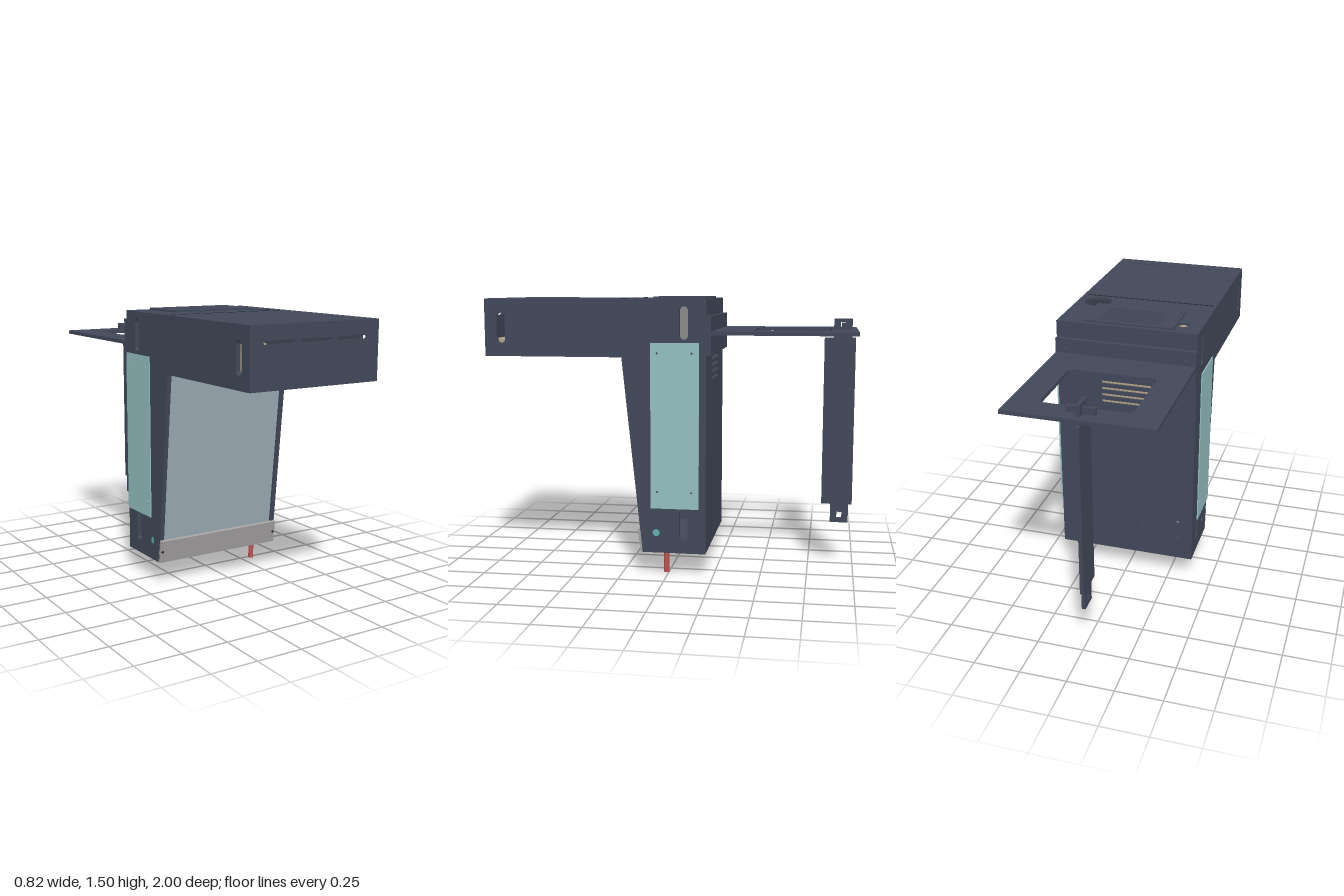
import * as THREE from 'three';

const NAVY = 0x414859, TEAL = 0x93bfc2, GREY = 0xa3a0a0, TAN = 0xb5a283, BLACK = 0x1c1c1e;
const W = 0.385; // half width of the cabinet

const mat = (color) => new THREE.MeshStandardMaterial({ color, side: THREE.DoubleSide });

// Shape and hole helpers
const poly = (pts) => new THREE.Shape(pts.map(([x, y]) => new THREE.Vector2(x, y)));
const rect = (x0, y0, x1, y1) => poly([[x0, y0], [x1, y0], [x1, y1], [x0, y1]]);
function rounded(cx, cy, w, h, r = Math.min(w, h) / 2) {
  const p = new THREE.Path(), a = w / 2 - r, b = h / 2 - r;
  p.absarc(cx + a, cy + b, r, 0, Math.PI / 2);
  p.absarc(cx - a, cy + b, r, Math.PI / 2, Math.PI);
  p.absarc(cx - a, cy - b, r, Math.PI, Math.PI * 1.5);
  p.absarc(cx + a, cy - b, r, Math.PI * 1.5, Math.PI * 2);
  p.closePath();
  return p;
}
const circle = (x, y, r) => new THREE.Path().absarc(x, y, r, 0, Math.PI * 2);

export function createModel() {
  const model = new THREE.Group();

  function add(name, geo, color, x = 0, y = 0, z = 0) {
    const m = new THREE.Mesh(geo, mat(color));
    m.name = name;
    m.position.set(x, y, z);
    model.add(m);
    return m;
  }
  function sheet(shape, holes, depth) {
    shape.holes.push(...holes);
    return new THREE.ExtrudeGeometry(shape, { depth, bevelEnabled: false, curveSegments: 10 });
  }
  // Upright sheet facing z, starting at depth z
  const upright = (name, shape, holes, t, z, color = NAVY) =>
    add(name, sheet(shape, holes, t), color, 0, 0, z);
  // Level sheet drawn in (x, -z), bottom at y
  const level = (name, shape, holes, t, y, color = NAVY) =>
    add(name, sheet(shape, holes, t).rotateX(-Math.PI / 2), color, 0, y, 0);
  // Sheet facing x, drawn in (-z, y), starting at x
  const sideways = (name, shape, holes, t, x, color = NAVY) =>
    add(name, sheet(shape, holes, t).rotateY(Math.PI / 2), color, x, 0, 0);
  const box = (name, w, h, d, color, x, y, z) =>
    add(name, new THREE.BoxGeometry(w, h, d), color, x, y, z);
  const rod = (name, r, h, color, x, y, z, n = 24) =>
    add(name, new THREE.CylinderGeometry(r, r, h, n), color, x, y, z);

  // Side walls and the thin plates standing off them
  for (const s of [-1, 1]) {
    const wall = poly([[0.21, 0.125], [0.21, 1.495], [-1, 1.495], [-1, 1.185],
      [-0.245, 1.185], [-0.135, 0.125]]);
    sideways('sideWall', wall, [
      rounded(-0.91, 1.338, 0.046, 0.165), rounded(0.09, 1.368, 0.046, 0.175),
      rounded(0.09, 0.283, 0.046, 0.17), circle(-0.06, 0.235, 0.02),
    ], 0.025, s > 0 ? W - 0.025 : -W);
    const screws = [];
    for (const z of [-0.05, 0.135]) for (const y of [0.465, 1.21]) screws.push(circle(z, y, 0.006));
    sideways('sidePlate', rect(-0.085, 0.375, 0.175, 1.265), screws, 0.006, s * 0.405 - 0.003, TEAL);
    rod('sideButton', 0.02, 0.012, 0x5fb0ae, s * 0.374, 0.235, 0.06).rotation.z = Math.PI / 2;
  }

  // Top panel with cable openings and three slots at the front
  const topSlots = [-0.22, 0, 0.22].map((x) => rounded(x, -0.92, 0.18, 0.014));
  level('topPanel', rect(-W + 0.025, -0.988, W - 0.025, 0.198),
    [...topSlots, circle(0.27, -0.15, 0.075), circle(-0.28, 0.09, 0.03), rounded(0, 0.055, 0.36, 0.22, 0.01)],
    0.012, 1.483);
  box('topSeam', 0.73, 0.003, 0.008, 0x23272f, 0, 1.495, 0.248);

  // Louvred plate on the top, with the unit below it
  const louvres = [], plateScrews = [];
  for (let i = 0; i < 7; i++) louvres.push(rounded(0, 0.145 - i * 0.029, 0.33, 0.014));
  for (const x of [-0.235, 0.235]) for (const z of [0.16, -0.07]) plateScrews.push(circle(x, z, 0.006));
  level('louvrePlate', rect(-0.25, -0.095, 0.25, 0.185), [...louvres, ...plateScrews], 0.01, 1.495);
  box('ventUnit', 0.4, 0.19, 0.22, 0x8a8a88, 0, 1.365, -0.055);

  // Front of the hood
  upright('hoodFront', rect(-W + 0.025, 1.185, W - 0.025, 1.495),
    [-0.22, 0, 0.22].map((x) => rounded(x, 1.41, 0.18, 0.018)), 0.012, 0.988);

  // Underside of the hood: rim, recessed panel and speakers
  level('hoodRim', rect(-W + 0.025, -0.988, W - 0.025, -0.245),
    [rounded(0, -0.62, 0.64, 0.66, 0.005)], 0.012, 1.185);
  box('hoodPanel', 0.71, 0.02, 0.72, BLACK, 0, 1.245, 0.62);
  box('hoodBoard', 0.71, 0.02, 0.72, TAN, 0, 1.266, 0.62);
  for (const x of [-0.24, 0.24]) rod('speaker', 0.06, 0.012, 0x55585c, x, 1.23, 0.47);

  // Sloping glass, recessed between the side walls
  sideways('frontGlass', poly([[-0.135, 0.25], [-0.232, 1.18], [-0.22, 1.18], [-0.123, 0.25]]),
    [], 0.72, -0.36, 0x9dadb6);
  box('innerBoard', 0.7, 0.9, 0.02, TAN, 0, 0.85, 0.09);

  // Sloping strip below the glass
  sideways('kickStrip', poly([[-0.128, 0.125], [-0.145, 0.125], [-0.163, 0.25], [-0.148, 0.255]]),
    [], 2 * W, -W, GREY);
  for (const x of [-0.372, 0.372]) rod('stripScrew', 0.007, 0.006, BLACK, x, 0.188, 0.154, 12).rotation.x = Math.PI / 2;

  // Back panel with vents and screw holes
  const backHoles = [];
  for (let i = 0; i < 4; i++) backHoles.push(rounded(0, 1.17 - i * 0.037, 0.28, 0.016));
  for (const s of [-1, 1]) {
    for (const y of [0.26, 0.36]) backHoles.push(circle(s * 0.3, y, 0.008));
    backHoles.push(circle(s * 0.09, 0.32, 0.008));
  }
  upright('backPanel', rect(-W + 0.025, 0.125, W - 0.025, 1.495), backHoles, 0.012, -0.21);
  upright('backLedge', rect(-W, 1.2, W, 1.405),
    [circle(-0.33, 1.36, 0.01), circle(0.33, 1.36, 0.01)], 0.025, -0.235);

  // Floor, its cover plate and the red peg
  level('floor', rect(-W + 0.025, -0.135, W - 0.025, 0.198),
    [circle(0.27, 0.09, 0.018), circle(-0.27, 0.09, 0.018)], 0.012, 0.125);
  level('floorPlate', rect(-0.145, -0.05, 0.14, 0.165), [circle(0, 0.057, 0.018)], 0.007, 0.118, 0x85857f);
  rod('peg', 0.015, 0.16, 0xb85450, 0.316, 0.08, 0.014);

  // Rear shelf with a window
  level('shelf', rect(-W, 0.235, W, 1), [rounded(0, 0.65, 0.47, 0.42, 0.025)], 0.02, 1.305);

  // Shelf leg with tabs, held by a wedge
  const leg = poly([[0.82, 0.345], [0.87, 0.345], [0.87, 0.24], [0.97, 0.24], [0.97, 0.345],
    [0.99, 0.345], [0.99, 1.28], [0.97, 1.28], [0.97, 1.385], [0.87, 1.385], [0.87, 1.28], [0.82, 1.28]]);
  sideways('shelfLeg', leg, [rounded(0.92, 0.283, 0.028, 0.035, 0.001),
    rounded(0.92, 1.345, 0.028, 0.04, 0.001)], 0.02, -0.01);
  box('legWedge', 0.15, 0.036, 0.02, NAVY, 0, 1.343, -0.923);

  return model;
}
